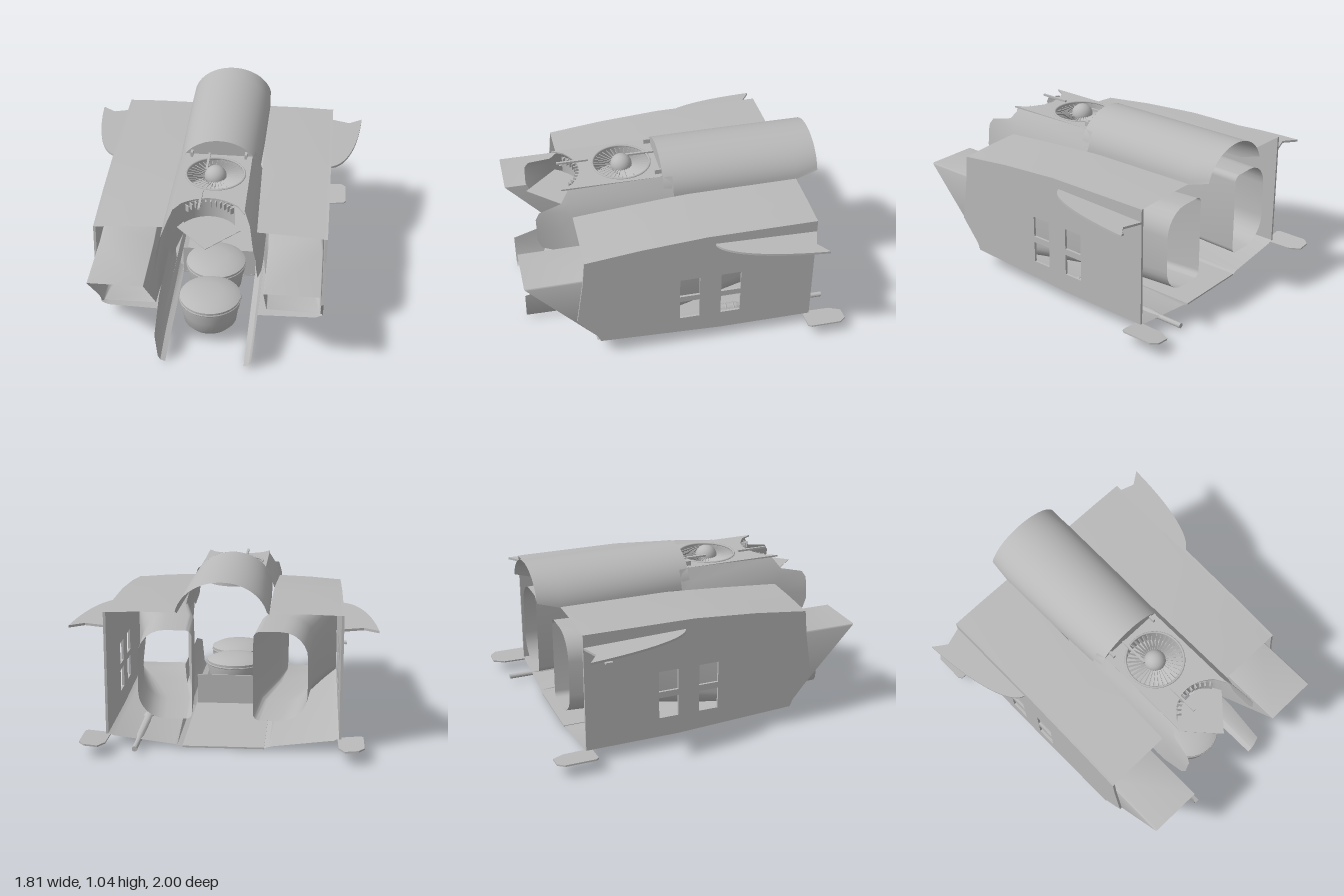
import * as THREE from 'three';
import { toCreasedNormals } from 'three/addons/utils/BufferGeometryUtils.js';

const hullGrey = new THREE.MeshStandardMaterial({ color: 0xb9b9b9, side: THREE.DoubleSide });
hullGrey.name = 'hullGrey';

function part(name, geometry, parent, x = 0, y = 0, z = 0) {
  const mesh = new THREE.Mesh(geometry, hullGrey);
  mesh.name = name;
  mesh.position.set(x, y, z);
  parent.add(mesh);
  return mesh;
}

// Skin through rows of [x, y, z] points
function skin(rows, closed = false) {
  const n = rows[0].length, index = [];
  for (let i = 0; i < rows.length - 1; i++) {
    for (let j = 0; j < (closed ? n : n - 1); j++) {
      const a = i * n + j, b = i * n + (j + 1) % n;
      index.push(a, b, a + n, b, b + n, a + n);
    }
  }
  const g = new THREE.BufferGeometry();
  g.setAttribute('position', new THREE.Float32BufferAttribute(rows.flat(2), 3));
  g.setIndex(index);
  return toCreasedNormals(g, 0.6);
}

// Section at one z from [x, y] points
const at = (z, pts) => pts.map(([x, y]) => [x, y, z]);

const outline = (pts) => new THREE.Shape(pts.map(([a, b]) => new THREE.Vector2(a, b)));

// Upright plate drawn in (z, y), inner face at x = 0
function sidePlate(shape, depth) {
  return new THREE.ExtrudeGeometry(shape, { depth, bevelEnabled: false })
    .rotateY(-Math.PI / 2).translate(depth, 0, 0);
}

// Flat plate drawn in (x, z), top face at y = 0
function flatPlate(shape, depth) {
  return new THREE.ExtrudeGeometry(shape, { depth, bevelEnabled: false, curveSegments: 24 })
    .rotateX(Math.PI / 2);
}

// Rounded rectangle ring; the inner corners are tighter than the outer ones
function ductRing(z, x0, x1, y0, y1, r, shear = 0) {
  const ring = [], q = r * 0.25;
  const corners = [[x1, y1, -1, -1, r], [x0, y1, 1, -1, q], [x0, y0, 1, 1, q], [x1, y0, -1, 1, r]];
  corners.forEach(([cx, cy, sx, sy, rad], k) => {
    for (let i = 0; i <= 6; i++) {
      const t = (k + i / 6) * Math.PI / 2;
      const y = cy + sy * rad + rad * Math.sin(t);
      ring.push([cx + sx * rad + rad * Math.cos(t), y, z + (y - y0) * shear]);
    }
  });
  return ring;
}

function buildSide() {
  const side = new THREE.Group();

  // Outer wall with four window openings
  const wall = outline([[0.56, 0.12], [0.58, 0.165], [0.70, 0.31], [0.655, 0.6], [0.64, 0.76], [0.3, 0.8],
    [-0.1, 0.83], [-0.79, 0.835], [-0.79, 0.085], [-0.2, 0.085]]);
  for (const z of [-0.065, -0.325]) {
    for (const y of [0.21, 0.385]) {
      wall.holes.push(outline([[z, y], [z, y + 0.135], [z + 0.125, y + 0.135], [z + 0.125, y]]));
    }
  }
  part('outerWall', sidePlate(wall, 0.015), side, 0.69);

  // Roof panel rising to the rear
  const roofRows = [[0.64, 0.785, 0.76], [0.3, 0.81, 0.80], [-0.1, 0.835, 0.83], [-0.79, 0.84, 0.835]];
  part('roofPanel', skin(roofRows.map(([z, yi, yo]) =>
    at(z, [[0.27, yi], [0.5, (yi + yo) / 2 + 0.003], [0.69, yo], [0.705, yo - 0.02]]))), side);

  // Raked intake running into a curved duct
  part('intakeDuct', skin([
    ductRing(0.58, 0.35, 0.685, 0.15, 0.61, 0.008, 0.913),
    ductRing(0.57, 0.35, 0.685, 0.15, 0.612, 0.01),
    ductRing(0.45, 0.345, 0.685, 0.15, 0.65, 0.03),
    ductRing(0.1, 0.30, 0.63, 0.17, 0.70, 0.1),
    ductRing(-0.4, 0.21, 0.53, 0.195, 0.735, 0.15),
    ductRing(-0.82, 0.18, 0.5, 0.2, 0.74, 0.16),
  ], true), side);

  // Underside, almost flat in front and sloping at the rear
  part('underside', skin([[0.58, 0.10, 0.12], [-0.2, 0.06, 0.085], [-0.79, 0.03, 0.085]].map(([z, yi, yo]) =>
    at(z, [[0.24, 0.015], [0.275, 0.025], [0.295, yi], [0.66, yo - 0.01], [0.70, yo + 0.01]]))), side);

  // Lower fin beside the fans
  part('lowerFin', skin([
    at(0.975, [[0.24, 0.02], [0.27, 0.03], [0.285, 0.06], [0.30, 0.22]]),
    at(0.70, [[0.24, 0.018], [0.275, 0.03], [0.29, 0.06], [0.31, 0.30]]),
    at(0, [[0.24, 0.015], [0.275, 0.03], [0.295, 0.06], [0.315, 0.30]]),
  ]), side);

  // Upper cheek flaring down beside the deck
  part('upperCheek', skin([
    at(0, [[0.225, 0.95], [0.255, 0.87], [0.29, 0.77], [0.325, 0.62]]),
    at(0.08, [[0.21, 0.95], [0.255, 0.87], [0.29, 0.77], [0.325, 0.61]]),
    at(0.65, [[0.21, 0.94], [0.255, 0.87], [0.285, 0.78], [0.325, 0.58]]),
    at(0.70, [[0.245, 0.87], [0.265, 0.82], [0.29, 0.72], [0.318, 0.55]]),
    at(0.84, [[0.27, 0.84], [0.285, 0.77], [0.295, 0.70], [0.305, 0.60]]),
    at(0.865, [[0.28, 0.80], [0.29, 0.76], [0.295, 0.70], [0.30, 0.66]]),
  ]), side);

  // Upper rear winglet, thin and tipped down toward the rear
  const winglet = new THREE.Shape();
  winglet.moveTo(0.70, -0.155);
  winglet.bezierCurveTo(0.80, -0.17, 0.88, -0.42, 0.905, -0.81);
  winglet.lineTo(0.82, -0.75);
  winglet.lineTo(0.70, -0.79);
  part('upperWinglet', flatPlate(winglet, 0.014), side, 0, 0.776).rotation.x = -0.025;

  // Lower tail fin, tip slightly raised
  part('tailFin', flatPlate(outline([[0, -0.75], [0.14, -0.75], [0.155, -0.77], [0.155, -0.96], [0.12, -1],
    [0.04, -1], [0.005, -0.93]]), 0.01), side, 0.68, 0.08).rotation.z = 0.09;
  part('wallStub', new THREE.BoxGeometry(0.025, 0.012, 0.045), side, 0.712, 0.64, -0.64);
  return side;
}

// Fan with rim, blades and domed hub
function buildFan() {
  const fan = new THREE.Group();
  fan.name = 'upperFan';
  part('fanRim', new THREE.CylinderGeometry(0.18, 0.18, 0.14, 40, 1, true), fan, 0, -0.05);
  part('fanBase', new THREE.CircleGeometry(0.18, 40).rotateX(-Math.PI / 2), fan, 0, -0.115);
  part('fanLip', new THREE.TorusGeometry(0.18, 0.007, 6, 40).rotateX(Math.PI / 2), fan, 0, 0.02);
  part('fanHub', new THREE.SphereGeometry(0.068, 24, 16), fan, 0, 0.005);
  for (let i = 0; i < 36; i++) {
    const blade = part('fanBlade', new THREE.BoxGeometry(0.12, 0.003, 0.02).rotateX(0.7).translate(0.115, 0, 0), fan);
    blade.rotation.y = i * Math.PI / 18;
  }
  return fan;
}

// Bowl-shaped lift nozzle with a shallow domed lid
function buildNozzle() {
  const nozzle = new THREE.Group();
  nozzle.name = 'lowerNozzle';
  const bowl = [[0, 0.305], [0.08, 0.302], [0.15, 0.29], [0.19, 0.27], [0.188, 0.22], [0.175, 0.17], [0.165, 0.1],
    [0.14, 0.07], [0.1, 0.06], [0.07, 0.075], [0.06, 0.13]];
  part('nozzleBowl', toCreasedNormals(
    new THREE.LatheGeometry(bowl.map(([r, y]) => new THREE.Vector2(r, y)), 40), 0.7), nozzle);
  part('nozzleCore', new THREE.CylinderGeometry(0.03, 0.04, 0.05, 20), nozzle, 0, 0.12);
  part('nozzleRing', new THREE.TorusGeometry(0.188, 0.006, 6, 40).rotateX(Math.PI / 2), nozzle, 0, 0.25);
  return nozzle;
}

export function createModel() {
  const model = new THREE.Group();

  // Mirrored flanks
  const left = buildSide(), right = buildSide();
  left.name = 'leftFlank';
  right.name = 'rightFlank';
  right.scale.x = -1;
  model.add(left, right);

  // Arched spine cowl
  const arch = (z, w, base, foot) => {
    const row = [], t0 = Math.asin((foot - base) / (1.05 - base));
    for (let i = 0; i <= 28; i++) {
      const t = t0 + (Math.PI - 2 * t0) * i / 28;
      row.push([w * Math.cos(t), base + (1.05 - base) * Math.sin(t), z]);
    }
    return row;
  };
  part('spineCowl', skin([arch(-0.93, 0.27, 0.83, 0.88), arch(-0.79, 0.27, 0.83, 0.835),
    arch(-0.3, 0.265, 0.83, 0.831), arch(0.06, 0.255, 0.83, 0.831)]), model);
  // Crescent closing the cowl above the deck
  const crescent = arch(0.06, 0.255, 0.83, 0.95);
  part('cowlFace', skin([crescent, crescent.map(([x, , z]) => [x, 0.945, z])]), model);

  // Deck with fan opening and scooped front edge
  const deck = outline([[-0.21, 0.06], [0.21, 0.06], [0.21, 0.69], [0.17, 0.62]]);
  deck.quadraticCurveTo(0, 0.48, -0.17, 0.62);
  deck.lineTo(-0.21, 0.69);
  const opening = new THREE.Path();
  opening.absarc(0, 0.28, 0.18, 0, Math.PI * 2);
  deck.holes.push(opening);
  part('fanDeck', flatPlate(deck, 0.01), model, 0, 0.95);

  const fan = buildFan();
  fan.position.set(0, 0.93, 0.28);
  model.add(fan);

  // Toothed rear half of the forward well and its pointed floor
  part('forwardWell', new THREE.CylinderGeometry(0.18, 0.18, 0.12, 24, 1, true, Math.PI * 0.68, Math.PI * 0.64), model, 0, 0.88, 0.73);
  for (let i = -5; i <= 5; i++) {
    const a = i * 0.18;
    const tooth = part('wellTooth', new THREE.BoxGeometry(0.008, 0.04, 0.03), model,
      0.17 * Math.sin(a), 0.92, 0.73 - 0.17 * Math.cos(a));
    tooth.rotation.y = -a;
  }
  part('wellFloor', flatPlate(outline([[-0.1, 0.57], [0.1, 0.57], [0.15, 0.61], [0.19, 0.68], [0, 0.885],
    [-0.19, 0.68], [-0.15, 0.61]]), 0.003), model, 0, 0.82);

  // Small deck fittings
  for (const z of [0.15, 0.58]) part('deckRod', new THREE.BoxGeometry(0.014, 0.012, 0.2), model, -0.06, 0.956, z);
  for (const x of [-0.17, 0.17]) part('deckLug', new THREE.BoxGeometry(0.015, 0.03, 0.04), model, x, 0.965, 0.08);

  // Lower nozzles
  for (const z of [0.26, 0.62]) {
    const nozzle = buildNozzle();
    nozzle.position.set(0, 0.005, z);
    model.add(nozzle);
  }

  // Belly floor and its upright end
  part('bellyFloor', new THREE.BoxGeometry(0.49, 0.01, 0.86), model, 0, 0.015, -0.36);
  part('bellyBulkhead', new THREE.BoxGeometry(0.48, 0.2, 0.008), model, 0, 0.115, 0.065);

  // Rear-facing gun under the left flank
  const gun = [[0, -0.12], [0.035, -0.12], [0.036, -0.36], [0.027, -0.38], [0.024, -0.72], [0.016, -0.78], [0.016, -0.94], [0, -0.94]];
  part('gunBody', toCreasedNormals(new THREE.LatheGeometry(gun.map(([r, y]) => new THREE.Vector2(r, y)), 20)
    .rotateX(Math.PI / 2), 0.5), model, 0.51, 0.046, 0);
  for (let i = 0; i < 5; i++) {
    part('gunRib', new THREE.TorusGeometry(0.035, 0.005, 6, 20), model, 0.51, 0.046, -0.14 - i * 0.05);
  }
  return model;
}
